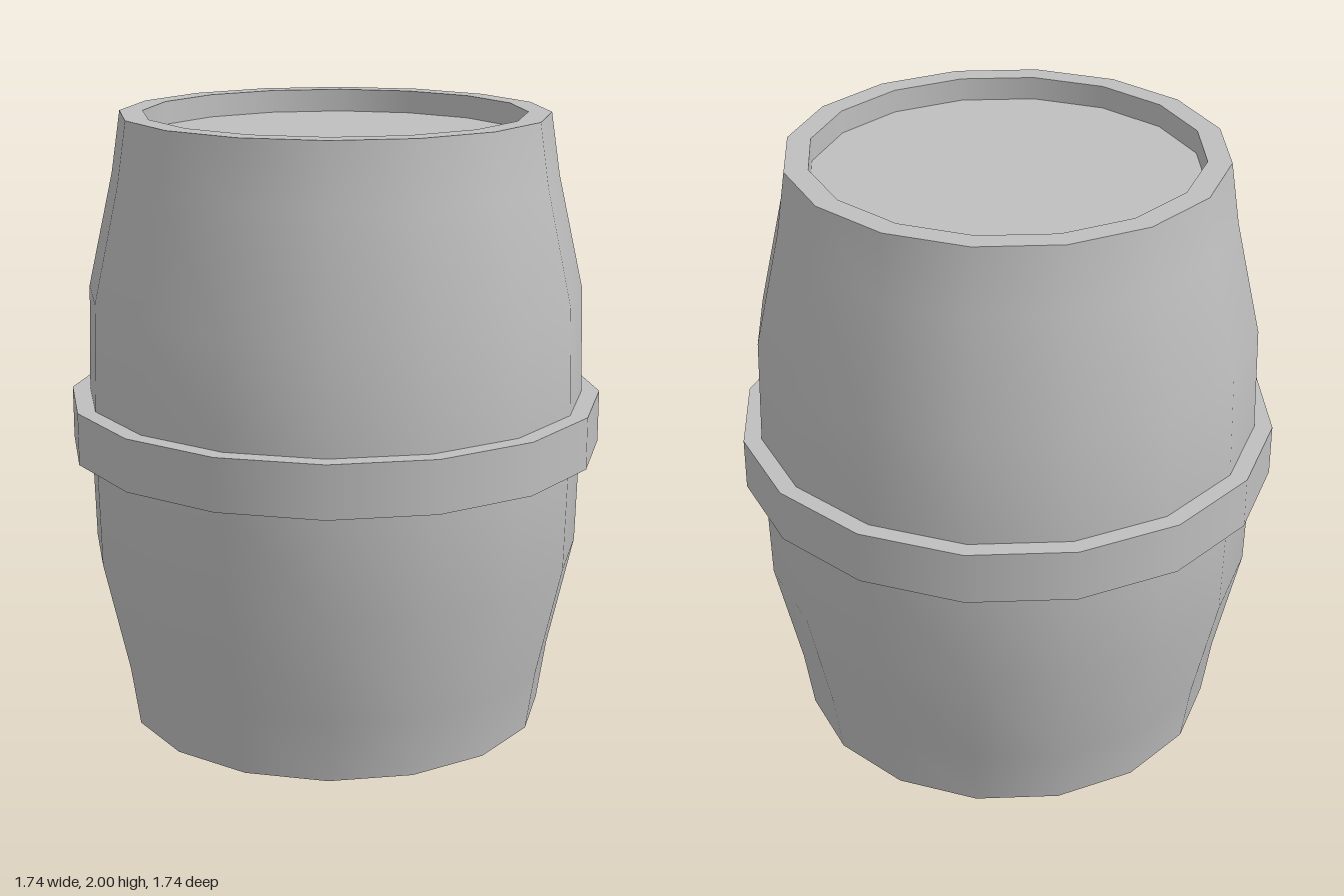
import * as THREE from 'three';

const SIDES = 16;

export function createModel() {
  const group = new THREE.Group();
  group.name = 'barrel';
  const grey = new THREE.MeshStandardMaterial({ color: 0xbfbfbf });
  grey.name = 'grey';

  // One smooth surface of revolution; profiles run counter-clockwise (out, up, in)
  function lathe(parent, name, profile) {
    const points = profile.map(([r, y]) => new THREE.Vector2(r, y));
    const mesh = new THREE.Mesh(new THREE.LatheGeometry(points, SIDES), grey);
    mesh.name = name;
    parent.add(mesh);
  }

  // Bulging staves
  lathe(group, 'staves', [
    [0.69, 0], [0.72, 0.2], [0.803, 0.57], [0.812, 0.92],
    [0.812, 1.08], [0.803, 1.43], [0.72, 1.8], [0.69, 2],
  ]);

  // Recessed heads with a flat rim at both ends
  const depth = 0.075, inner = 0.615;
  lathe(group, 'topRim', [[0.69, 2], [inner, 2]]);
  lathe(group, 'topRecessWall', [[inner, 2], [inner, 2 - depth]]);
  lathe(group, 'topHead', [[inner, 2 - depth], [0, 2 - depth]]);
  lathe(group, 'bottomHead', [[0, depth], [inner, depth]]);
  lathe(group, 'bottomRecessWall', [[inner, depth], [inner, 0]]);
  lathe(group, 'bottomRim', [[inner, 0], [0.69, 0]]);

  // Hoop around the middle, with sharp edges
  const hoop = new THREE.Group();
  hoop.name = 'hoop';
  const low = 0.915, high = 1.085, outer = 0.87, inside = 0.805;
  lathe(hoop, 'hoopUnderside', [[inside, low], [outer, low]]);
  lathe(hoop, 'hoopBand', [[outer, low], [outer, high]]);
  lathe(hoop, 'hoopTop', [[outer, high], [inside, high]]);
  group.add(hoop);

  return group;
}
